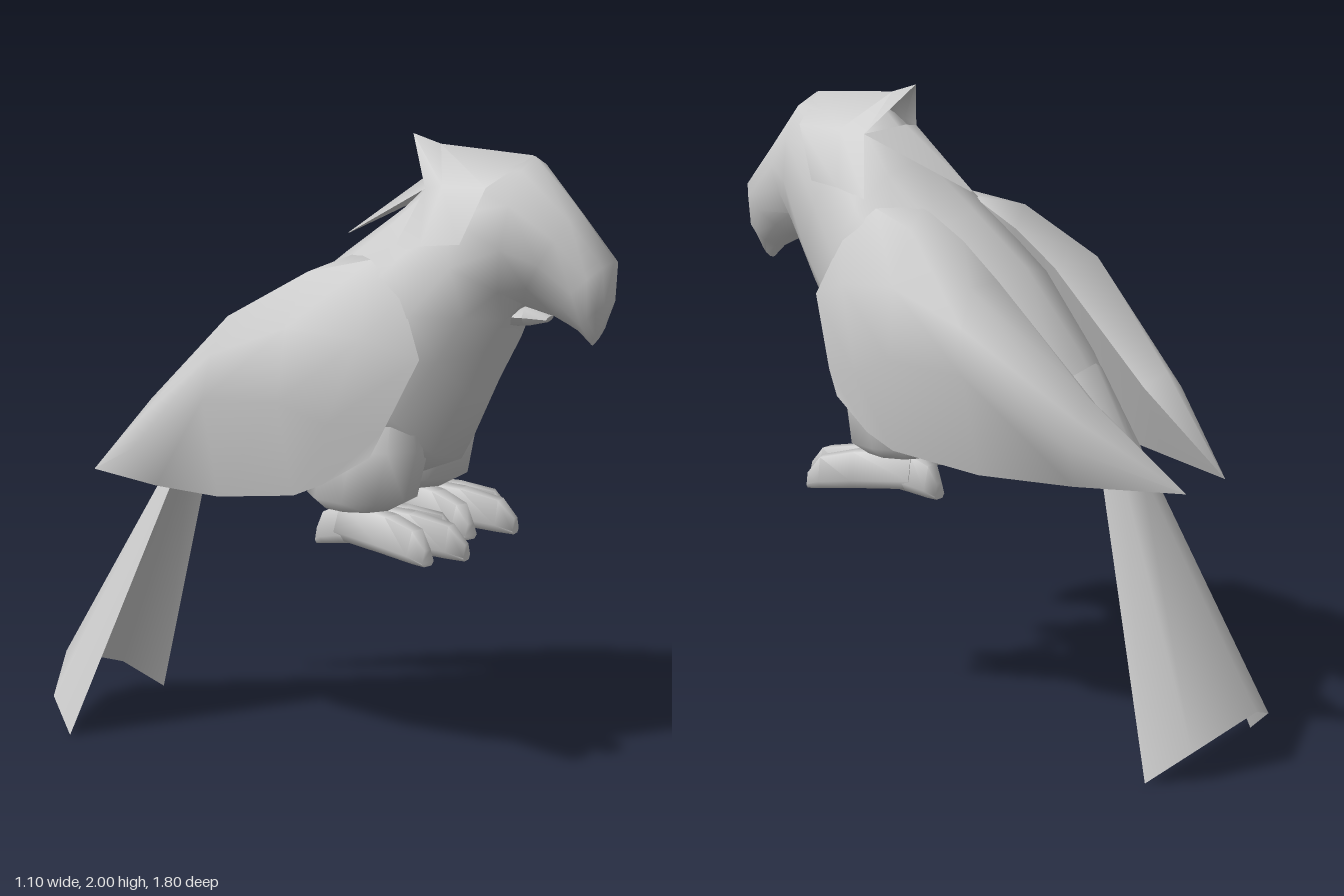
import * as THREE from 'three';
import { toCreasedNormals } from 'three/addons/utils/BufferGeometryUtils.js';

const grey = new THREE.MeshStandardMaterial({ color: 0xcccccc });
const thin = new THREE.MeshStandardMaterial({ color: 0xcccccc, side: THREE.DoubleSide });

// Skin a row of equal-length point rings; closed rings get end caps and face outwards
function loft(rings, closed = true, crease = 1.25) {
  const n = rings[0].length, m = rings.length, idx = [];
  const pts = rings.flat();
  for (let i = 0; i < m - 1; i++) {
    for (let j = 0; j < (closed ? n : n - 1); j++) {
      const a = i * n + j, b = i * n + (j + 1) % n;
      idx.push(a, b, b + n, a, b + n, a + n);
    }
  }
  if (closed) {
    for (let j = 1; j < n - 1; j++) {
      const e = (m - 1) * n;
      idx.push(0, j + 1, j, e, e + j, e + j + 1);
    }
    let volume = 0;
    for (let i = 0; i < idx.length; i += 3) {
      const [a, b, c] = [0, 1, 2].map((k) => new THREE.Vector3(...pts[idx[i + k]]));
      volume += a.dot(b.cross(c));
    }
    if (volume < 0) idx.reverse();
  }
  const g = new THREE.BufferGeometry();
  g.setAttribute('position', new THREE.Float32BufferAttribute(pts.flat(), 3));
  g.setIndex(idx);
  return toCreasedNormals(g, crease);
}

// Ring between a top and a bottom point [z, y] of the middle plane; pinch narrows the top
function bodyRing([tz, ty, bz, by, half, pinch], sides = 12) {
  return Array.from({ length: sides }, (_, i) => {
    const a = (i / sides) * Math.PI * 2, c = Math.cos(a);
    return [
      half * Math.sin(a) * (1 - pinch * c),
      (ty + by) / 2 + ((ty - by) / 2) * c,
      (tz + bz) / 2 + ((tz - bz) / 2) * c,
    ];
  });
}

function flatRing(x, y, z, rx, rz, sides = 10) {
  return Array.from({ length: sides }, (_, i) => {
    const a = (i / sides) * Math.PI * 2;
    return [x + rx * Math.cos(a), y, z + rz * Math.sin(a)];
  });
}

export function createModel() {
  const model = new THREE.Group();
  const bird = new THREE.Group();
  bird.name = 'bird';
  bird.rotation.y = THREE.MathUtils.degToRad(24);
  bird.position.set(0.038, 0, -0.017);
  model.add(bird);

  const add = (name, geometry, material = grey, parent = bird) => {
    const mesh = new THREE.Mesh(geometry, material);
    mesh.name = name;
    parent.add(mesh);
  };

  // Beak, head, breast and back in one skin: top z, y, bottom z, y, half width, pinch
  const body = [
    [0.965, 1.46, 0.925, 1.39, 0.03, 0],
    [0.985, 1.53, 0.885, 1.43, 0.075, -0.2],
    [0.99, 1.65, 0.8, 1.47, 0.105, -0.25],
    [0.88, 1.79, 0.71, 1.49, 0.125, 0],
    [0.73, 1.95, 0.68, 1.43, 0.205, 0.05],
    [0.47, 1.93, 0.645, 1.33, 0.235, 0.25],
    [0.3, 1.77, 0.59, 1.2, 0.28, -0.1],
    [0.1, 1.62, 0.5, 1.0, 0.315, 0],
    [-0.1, 1.46, 0.33, 0.93, 0.3, 0],
    [-0.3, 1.22, -0.05, 0.93, 0.2, -0.05],
    [-0.5, 0.93, -0.4, 0.9, 0.09, 0],
  ];
  add('body', loft(body.map((s) => bodyRing(s))));

  // Lower beak
  add('lowerBeak', loft([
    bodyRing([0.79, 1.47, 0.78, 1.45, 0.03, 0], 8),
    bodyRing([0.72, 1.5, 0.72, 1.435, 0.065, 0], 8),
    bodyRing([0.57, 1.52, 0.57, 1.42, 0.1, 0], 8),
  ]));

  // Tail, crest and nape are given as half rows from the edge to the middle
  const arch = (rows) => rows.map((r) => [
    ...r.map(([x, y, z]) => [-x, y, z]), ...r.slice(0, -1).reverse(),
  ]);

  // Hood of crest feathers rising from the brow, and the pointed feathers on the nape
  add('crest', loft(arch([
    [[0.215, 1.7, 0.58], [0.185, 1.87, 0.65], [0, 1.952, 0.725]],
    [[0.235, 1.69, 0.46], [0.165, 1.865, 0.5], [0, 1.972, 0.42]],
    [[0.225, 1.66, 0.36], [0.135, 1.85, 0.43], [0, 2.0, 0.327]],
  ]), false), thin);
  add('nape', loft(arch([
    [[0.135, 1.85, 0.43], [0, 1.87, 0.37]],
    [[0.005, 1.68, 0.11], [0, 1.68, 0.106]],
  ]), false), thin);

  // Tail: an arched fan with a notched end
  add('tail', loft(arch([
    [[0.12, 1.1, -0.3], [0.08, 1.16, -0.33], [0, 1.19, -0.36]],
    [[0.112, 0.87, -0.46], [0.075, 0.88, -0.51], [0, 0.88, -0.53]],
    [[0.307, 0.005, -0.754], [0.224, 0.1, -0.867], [0, 0.185, -0.955]],
  ]), false), thin);

  // Folded wing, front to tip; each row runs from the back over the outside to the lower edge
  const tip = [0.112, 0.86, -0.763];
  const wing = [
    [[0.2, 1.56, 0.34], [0.265, 1.54, 0.416], [0.305, 1.36, 0.494], [0.36, 1.14, 0.4], [0.37, 1.06, 0.362]],
    [[0.13, 1.64, 0.2], [0.241, 1.64, 0.301], [0.38, 1.42, 0.33], [0.43, 1.16, 0.243], [0.4, 0.97, 0.22]],
    [[0.14, 1.55, 0.04], [0.303, 1.6, 0.12], [0.42, 1.44, 0.1], [0.454, 1.22, 0.09], [0.4, 0.925, 0.12]],
    [[0.15, 1.44, -0.1], [0.343, 1.45, -0.135], [0.415, 1.34, -0.155], [0.437, 1.2, -0.175], [0.35, 0.88, -0.17]],
    [[0.135, 1.1, -0.45], [0.22, 1.14, -0.48], [0.29, 1.08, -0.49], [0.325, 1.0, -0.487], [0.25, 0.865, -0.45]],
    [tip, tip, tip, tip, tip],
  ];

  // One toe: a tapering block along the ground with a sloping, bevelled end
  const toe = (x0, z0, x1, z1) => {
    const dir = new THREE.Vector2(x1 - x0, z1 - z0).normalize();
    const section = ([t, half, low, high]) => {
      const x = x0 + (x1 - x0) * t, z = z0 + (z1 - z0) * t;
      return [[-1, 0.25], [-0.6, 0], [0.6, 0], [1, 0.25], [0.5, 1], [-0.5, 1]].map(([s, h]) =>
        [x + dir.y * s * half, low + (high - low) * h, z - dir.x * s * half]);
    };
    return loft([
      [0, 0.06, 0.755, 0.875], [0.55, 0.058, 0.745, 0.86],
      [0.87, 0.046, 0.735, 0.835], [1, 0.026, 0.73, 0.78],
    ].map(section));
  };

  for (const [side, s] of [['left', 1], ['right', -1]]) {
    const flip = (rings) => rings.map((r) => r.map(([x, y, z]) => [x * s, y, z]));
    add(side + 'Wing', loft(flip(wing), true, 1.4), thin);

    // Feathered thigh, widest at its lower rim
    add(side + 'Thigh', loft(flip([
      flatRing(0.13, 1.3, 0.3, 0.09, 0.12),
      flatRing(0.18, 1.06, 0.28, 0.145, 0.18),
      flatRing(0.19, 0.9, 0.25, 0.15, 0.175),
      flatRing(0.19, 0.865, 0.24, 0.11, 0.12),
    ])));

    // Foot: three fanned front toes and a short heel
    const foot = new THREE.Group();
    foot.name = side + 'Foot';
    bird.add(foot);
    for (const [x, z] of [[0.31, 0.53], [0.19, 0.605], [0.055, 0.51]]) {
      add('toe', toe(0.19 * s, 0.2, x * s, z), grey, foot);
    }
    add('heel', toe(0.19 * s, 0.3, 0.19 * s, 0.1), grey, foot);
  }
  return model;
}
